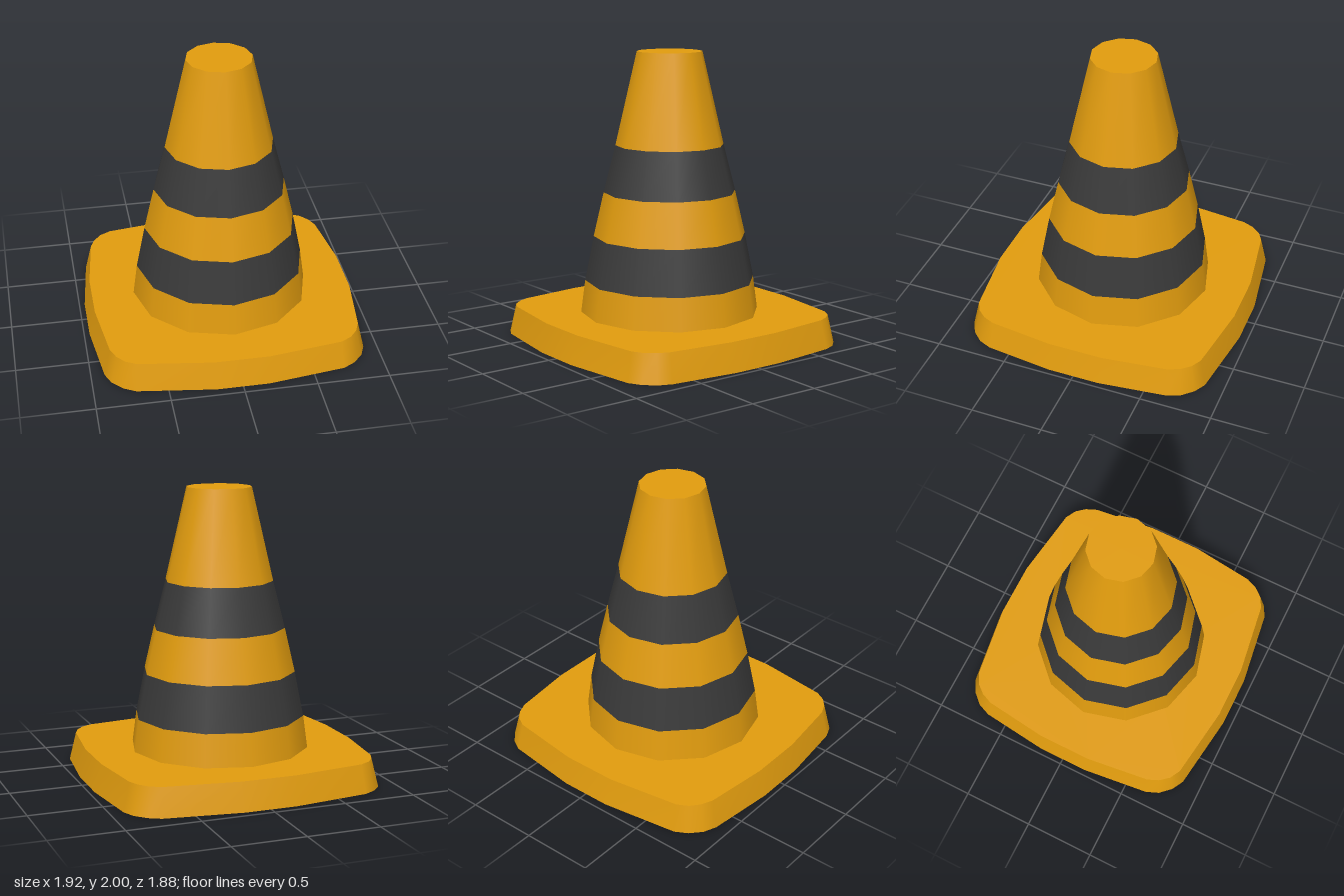
import * as THREE from 'three';

const SIDES = 12;
const BASE_HEIGHT = 0.195;

// Quarter outlines of the base slab as [x, z], mirrored into full loops
const BOTTOM_QUARTER = [[0.962, 0.18], [0.907, 0.655], [0.87, 0.745], [0.8, 0.82], [0.717, 0.866], [0.18, 0.941]];
const TOP_QUARTER = [[0.917, 0.19], [0.862, 0.64], [0.828, 0.72], [0.775, 0.783], [0.7, 0.824], [0.19, 0.897]];

function fullLoop(quarter) {
  const reversed = [...quarter].reverse();
  return [
    ...quarter,
    ...reversed.map(([x, z]) => [-x, z]),
    ...quarter.map(([x, z]) => [-x, -z]),
    ...reversed.map(([x, z]) => [x, -z]),
  ];
}

// Flat slab face with a twelve-sided opening
function slabFace(loop, holeRadius, y, up) {
  const shape = new THREE.Shape(loop.map(([x, z]) => new THREE.Vector2(x, z)));
  const hole = [];
  for (let i = 0; i < SIDES; i++) {
    const a = (i / SIDES) * Math.PI * 2;
    hole.push(new THREE.Vector2(Math.cos(a) * holeRadius, Math.sin(a) * holeRadius));
  }
  shape.holes.push(new THREE.Path(hole));
  const geometry = new THREE.ShapeGeometry(shape);
  geometry.rotateX(up ? -Math.PI / 2 : Math.PI / 2);
  geometry.translate(0, y, 0);
  return geometry;
}

// Smooth sloping rim between the two outlines
function slabRim(bottom, top) {
  const n = bottom.length;
  const positions = [];
  const index = [];
  bottom.forEach(([x, z]) => positions.push(x, 0, z));
  top.forEach(([x, z]) => positions.push(x, BASE_HEIGHT, z));
  for (let i = 0; i < n; i++) {
    const j = (i + 1) % n;
    index.push(i, n + i, j, j, n + i, n + j);
  }
  const geometry = new THREE.BufferGeometry();
  geometry.setAttribute('position', new THREE.Float32BufferAttribute(positions, 3));
  geometry.setIndex(index);
  geometry.computeVertexNormals();
  return geometry;
}

export function createModel() {
  const model = new THREE.Group();
  model.name = 'trafficCone';

  const material = (name, color) => {
    const m = new THREE.MeshStandardMaterial({ color });
    m.name = name;
    return m;
  };
  const amber = material('amber', 0xe09b0e);
  const charcoal = material('charcoal', 0x393939);
  const innerOrange = material('innerOrange', 0xe6800f);

  const add = (parent, name, geometry, mat) => {
    const mesh = new THREE.Mesh(geometry, mat);
    mesh.name = name;
    parent.add(mesh);
    return mesh;
  };

  // Base slab
  const base = new THREE.Group();
  base.name = 'base';
  model.add(base);
  const bottom = fullLoop(BOTTOM_QUARTER);
  const top = fullLoop(TOP_QUARTER);
  add(base, 'baseRim', slabRim(bottom, top), amber);
  add(base, 'baseTop', slabFace(top, 0.55, BASE_HEIGHT, true), amber);
  add(base, 'baseUnderside', slabFace(bottom, 0.45, 0, false), amber);

  // Tapered body in alternating bands
  const body = new THREE.Group();
  body.name = 'body';
  model.add(body);
  const rings = [[0.62, BASE_HEIGHT], [0.59, 0.42], [0.528, 0.73], [0.457, 1.035], [0.374, 1.36], [0.225, 2]];
  for (let i = 0; i < rings.length - 1; i++) {
    const [r0, y0] = rings[i];
    const [r1, y1] = rings[i + 1];
    const band = new THREE.CylinderGeometry(r1, r0, y1 - y0, SIDES, 1, true);
    band.translate(0, (y0 + y1) / 2, 0);
    add(body, i % 2 ? 'darkBand' : 'amberBand', band, i % 2 ? charcoal : amber);
  }

  // Closed tip
  const tip = new THREE.CircleGeometry(0.225, SIDES);
  tip.rotateX(-Math.PI / 2);
  tip.translate(0, 2, 0);
  add(body, 'tip', tip, amber);

  // Hollow interior, facing inward
  const cavity = [[0, 1.92], [0.19, 1.92], [0.45, 0]].map(([r, y]) => new THREE.Vector2(r, y));
  add(model, 'cavityWall', new THREE.LatheGeometry(cavity.slice(1), SIDES), innerOrange);
  add(model, 'cavityRoof', new THREE.LatheGeometry(cavity.slice(0, 2), SIDES), innerOrange);

  return model;
}
